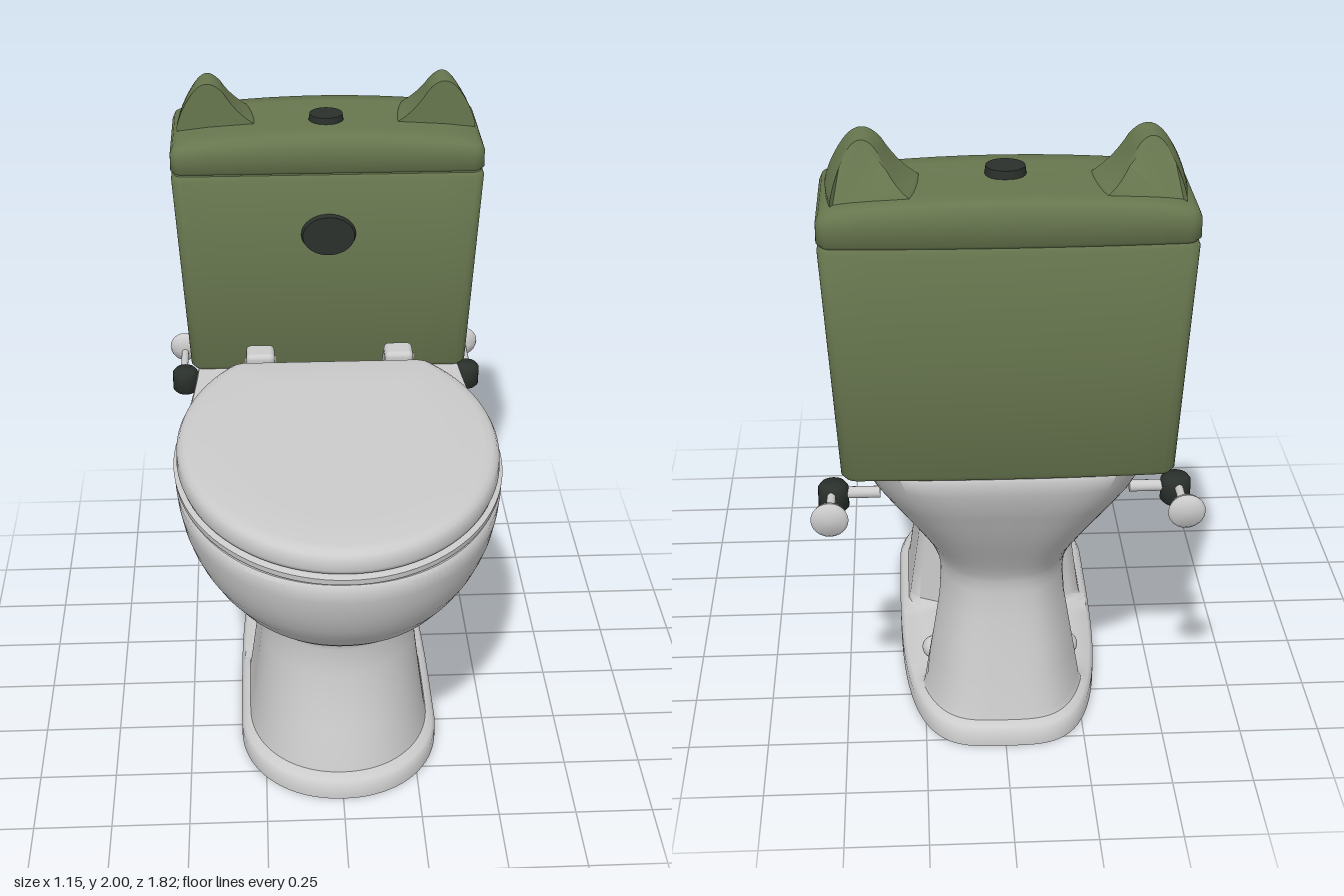
import * as THREE from 'three';
import { toCreasedNormals } from 'three/addons/utils/BufferGeometryUtils.js';
import { RoundedBoxGeometry } from 'three/addons/geometries/RoundedBoxGeometry.js';

const white = new THREE.MeshStandardMaterial({ color: 0xcccccc });
const green = new THREE.MeshStandardMaterial({ color: 0x68774f });
const dark = new THREE.MeshStandardMaterial({ color: 0x2a302c });
const { lerp, smoothstep } = THREE.MathUtils;

// Skin a stack of closed rings (bottom to top) and cap both ends
function loft(rings, crease = 0.7) {
  const n = rings[0].length, pos = [], idx = [];
  rings.forEach(r => r.forEach(p => pos.push(p.x, p.y, p.z)));
  for (let j = 0; j < rings.length - 1; j++) {
    for (let i = 0; i < n; i++) {
      const k = (i + 1) % n, a = j * n + i, b = j * n + k;
      idx.push(a, b, a + n, b, b + n, a + n);
    }
  }
  [0, rings.length - 1].forEach((j, top) => {
    const c = new THREE.Vector3();
    rings[j].forEach(p => c.addScaledVector(p, 1 / n));
    const ci = pos.push(c.x, c.y, c.z) / 3 - 1;
    for (let i = 0; i < n; i++) {
      const a = j * n + i, b = j * n + (i + 1) % n;
      if (top) idx.push(ci, a, b); else idx.push(ci, b, a);
    }
  });
  const g = new THREE.BufferGeometry();
  g.setAttribute('position', new THREE.Float32BufferAttribute(pos, 3));
  g.setIndex(idx);
  return toCreasedNormals(g, crease);
}

function add(parent, name, geometry, material, x = 0, y = 0, z = 0) {
  const m = new THREE.Mesh(geometry, material);
  m.name = name;
  m.position.set(x, y, z);
  parent.add(m);
  return m;
}

// Ring of the bowl and pedestal at one height, with a recess in each side
function bodyRing(y, zf, zb, w, wb, zc, n) {
  const side = [], N = 40;
  const z0 = lerp(-0.04, -0.2, smoothstep(y, 0.52, 0.88));
  const inRecess = smoothstep(y, 0.06, 0.085) * (1 - smoothstep(y, 0.81, 0.89));
  const wall = lerp(0.18, 0.3, smoothstep(y, 0.45, 0.85));
  for (let i = 0; i <= 2 * N; i++) {
    const front = i < N;
    const f = Math.abs(Math.cos(i / N * Math.PI / 2));
    const e = front ? 2.1 : n;
    const z = front ? zc + (zf - zc) * f : zc + (zb - zc) * f;
    let x = Math.pow(Math.max(0, 1 - Math.pow(f, e)), 1 / e);
    x *= lerp(wb, w, smoothstep(z, -0.45, zc));
    const dent = inRecess * (1 - smoothstep(z, z0 - 0.05, z0)) * smoothstep(z, -0.54, -0.42);
    x = lerp(x, Math.min(x, wall), dent);
    side.push(new THREE.Vector3(x, y, z));
  }
  const mirror = side.slice(1, -1).reverse().map(p => new THREE.Vector3(-p.x, y, p.z));
  return [...side, ...mirror];
}

// Height, front z, back z, half width, back half width, centre z, back squareness
const bodySections = [
  [0, 0.65, -0.79, 0.33, 0.33, 0.28, 3.6], [0.045, 0.65, -0.79, 0.33, 0.33, 0.28, 3.6],
  [0.062, 0.635, -0.775, 0.32, 0.32, 0.28, 3.6], [0.07, 0.6, -0.75, 0.3, 0.3, 0.25, 3.6],
  [0.09, 0.595, -0.745, 0.295, 0.295, 0.25, 3.5], [0.2, 0.56, -0.72, 0.28, 0.28, 0.24, 3.5],
  [0.3, 0.53, -0.7, 0.267, 0.265, 0.23, 3.4], [0.4, 0.512, -0.68, 0.255, 0.25, 0.22, 3.3],
  [0.49, 0.5, -0.67, 0.247, 0.245, 0.2, 3.2], [0.53, 0.51, -0.67, 0.25, 0.25, 0.2, 3.2],
  [0.56, 0.55, -0.68, 0.275, 0.262, 0.2, 3.2], [0.6, 0.615, -0.70, 0.312, 0.28, 0.2, 3.2],
  [0.65, 0.7, -0.73, 0.36, 0.31, 0.2, 3.3], [0.7, 0.765, -0.76, 0.4, 0.34, 0.2, 3.4],
  [0.76, 0.82, -0.795, 0.443, 0.375, 0.2, 3.6], [0.81, 0.855, -0.82, 0.472, 0.405, 0.2, 3.8],
  [0.85, 0.873, -0.84, 0.49, 0.425, 0.2, 4], [0.89, 0.89, -0.86, 0.503, 0.445, 0.2, 4.2],
  [0.95, 0.905, -0.88, 0.515, 0.463, 0.2, 4.6], [1.0, 0.91, -0.89, 0.52, 0.47, 0.2, 5],
  [1.012, 0.9, -0.885, 0.51, 0.465, 0.2, 5],
];

// Egg-shaped ring cut straight across the back, for the seat and lid
function eggRing(y, inset) {
  const pts = [];
  for (let i = 0; i < 96; i++) {
    const a = i / 96 * Math.PI * 2, c = Math.cos(a);
    const z = 0.2 + c * ((c > 0 ? 0.71 : 0.7) - inset);
    pts.push(new THREE.Vector3(Math.sin(a) * (0.525 - inset), y, Math.max(z, -0.345 + inset)));
  }
  return pts;
}

// Rounded rectangle with a bowed back; crown lifts the middle
function tankRing(y, w, zf, zb, r, crown = 0, bow = 0.015) {
  const pts = [], S = 6, E = 10;
  const corners = [[1, 1], [1, -1], [-1, -1], [-1, 1]];
  corners.forEach(([sx, sz], q) => {
    const cx = sx * (w - r), cz = sz > 0 ? zf - r : zb + r;
    for (let i = 0; i <= S; i++) {
      const a = (q + i / S) * Math.PI / 2;
      pts.push(new THREE.Vector3(cx + r * Math.sin(a), y, cz + r * Math.cos(a)));
    }
    const [nx, nz] = corners[(q + 1) % 4];
    const end = new THREE.Vector3(nx * (w - r) + r * Math.sin((q + 1) * Math.PI / 2), y,
      (nz > 0 ? zf - r : zb + r) + r * Math.cos((q + 1) * Math.PI / 2));
    const start = pts[pts.length - 1];
    for (let i = 1; i < E; i++) pts.push(start.clone().lerp(end, i / E));
  });
  const mid = (zf + zb) / 2;
  pts.forEach(p => {
    const k = 1 - (p.x / 0.53) ** 2;
    p.y += crown * k;
    if (p.z < mid) p.z -= bow * k * (mid - p.z) / (mid - zb);
  });
  return pts;
}

// Pointed ear with an upright front and a sloping back
function earGeometry(s) {
  const shape = new THREE.Shape();
  shape.moveTo(0.22, 1.8);
  shape.lineTo(0.24, 1.855);
  shape.quadraticCurveTo(0.3, 1.89, 0.345, 1.965);
  shape.quadraticCurveTo(0.4, 2.03, 0.45, 1.965);
  shape.quadraticCurveTo(0.49, 1.91, 0.505, 1.85);
  shape.lineTo(0.505, 1.8);
  const g = new THREE.ExtrudeGeometry(shape, { depth: 1, steps: 5, bevelEnabled: false, curveSegments: 10 });
  const p = g.attributes.position;
  for (let i = 0; i < p.count; i++) {
    const t = 1 - p.getZ(i), y = p.getY(i), x = p.getX(i);
    const back = lerp(-0.84, -0.75, smoothstep(y, 1.83, 2.0));
    p.setXYZ(i, s * lerp(x, 0.4, 0.18 * t * t), y, lerp(-0.632, back, t));
  }
  if (s < 0) { // restore the face order after mirroring
    for (let i = 0; i < p.count; i += 3) {
      const b = new THREE.Vector3().fromBufferAttribute(p, i + 1);
      const c = new THREE.Vector3().fromBufferAttribute(p, i + 2);
      p.setXYZ(i + 1, c.x, c.y, c.z);
      p.setXYZ(i + 2, b.x, b.y, b.z);
    }
  }
  return toCreasedNormals(g, 0.7);
}

export function createModel() {
  const model = new THREE.Group();
  model.name = 'toilet';

  add(model, 'bowlAndPedestal', loft(bodySections.map(s => bodyRing(...s)), 0.8), white);

  // Seat and closed lid
  add(model, 'seat', loft([[1.012, 0.02], [1.018, 0.002], [1.036, 0], [1.042, 0.015]].map(a => eggRing(...a))), white);
  add(model, 'seatLid', loft([[1.04, 0.03], [1.048, 0.014], [1.06, 0.01], [1.09, 0.012], [1.106, 0.02],
    [1.115, 0.035], [1.12, 0.06], [1.122, 0.2]].map(a => eggRing(...a)), 0.9), white);

  // Cistern and its crowned cover
  add(model, 'tank', loft([
    tankRing(1.015, 0.47, -0.465, -0.875, 0.03), tankRing(1.03, 0.482, -0.456, -0.885, 0.035),
    tankRing(1.4, 0.505, -0.456, -0.889, 0.035), tankRing(1.72, 0.525, -0.456, -0.893, 0.035),
    tankRing(1.735, 0.515, -0.465, -0.885, 0.03),
  ]), green);
  add(model, 'tankCover', loft([
    tankRing(1.733, 0.515, -0.48, -0.885, 0.03), tankRing(1.745, 0.527, -0.468, -0.897, 0.04),
    tankRing(1.8, 0.527, -0.468, -0.897, 0.04, 0.012), tankRing(1.822, 0.518, -0.476, -0.892, 0.04, 0.024),
    tankRing(1.832, 0.5, -0.495, -0.88, 0.04, 0.03), tankRing(1.834, 0.4, -0.56, -0.82, 0.03, 0.03),
    tankRing(1.834, 0.2, -0.63, -0.75, 0.02, 0.03),
  ], 0.9), green);

  // Flush button and front badge disc
  add(model, 'flushButton', new THREE.CylinderGeometry(0.056, 0.06, 0.03, 32), dark, 0, 1.87, -0.65);
  const disc = add(model, 'frontDisc', new THREE.CylinderGeometry(0.088, 0.095, 0.03, 40), dark, 0, 1.525, -0.449);
  disc.rotation.x = Math.PI / 2;
  disc.scale.z = 0.78;

  for (const s of [1, -1]) {
    const side = s > 0 ? 'left' : 'right';
    add(model, side + 'Ear', earGeometry(s), green);

    // Lid hinge with a round pin
    const hinge = new THREE.Group();
    hinge.name = side + 'Hinge';
    hinge.position.set(s * 0.24, 1.065, -0.4);
    add(hinge, 'hingeBlock', new RoundedBoxGeometry(0.098, 0.108, 0.095, 3, 0.018), white);
    add(hinge, 'hingePin', new THREE.CylinderGeometry(0.028, 0.028, 0.108, 20), white).rotation.z = Math.PI / 2;
    model.add(hinge);

    // Water valve: knob, stub, pipe and wall flange
    const valve = new THREE.Group();
    valve.name = side + 'Valve';
    valve.position.set(s * 0.515, 0, 0);
    const knob = [[0, -0.045], [0.036, -0.045], [0.046, -0.034], [0.046, 0.03], [0.036, 0.043], [0, 0.045]];
    add(valve, 'knob', toCreasedNormals(new THREE.LatheGeometry(knob.map(p => new THREE.Vector2(...p)), 20), 0.9),
      dark, 0, 0.86, -0.685);
    add(valve, 'stub', new THREE.CylinderGeometry(0.018, 0.018, 0.14, 14), white, -s * 0.07, 0.87, -0.685).rotation.z = Math.PI / 2;
    add(valve, 'pipe', new THREE.CylinderGeometry(0.013, 0.013, 0.18, 14), white, 0.005 * s, 0.88, -0.79).rotation.x = Math.PI / 2;
    const flange = [[0, -0.02], [0.045, -0.02], [0.055, -0.008], [0.05, 0.008], [0.025, 0.02], [0, 0.02]];
    add(valve, 'wallFlange', toCreasedNormals(new THREE.LatheGeometry(flange.map(p => new THREE.Vector2(...p)), 24), 0.9),
      white, 0.005 * s, 0.893, -0.88).rotation.x = Math.PI / 2;
    model.add(valve);

    add(model, side + 'BoltCap', new THREE.SphereGeometry(0.037, 20, 14), white, s * 0.22, 0.12, -0.405);
  }
  return model;
}
